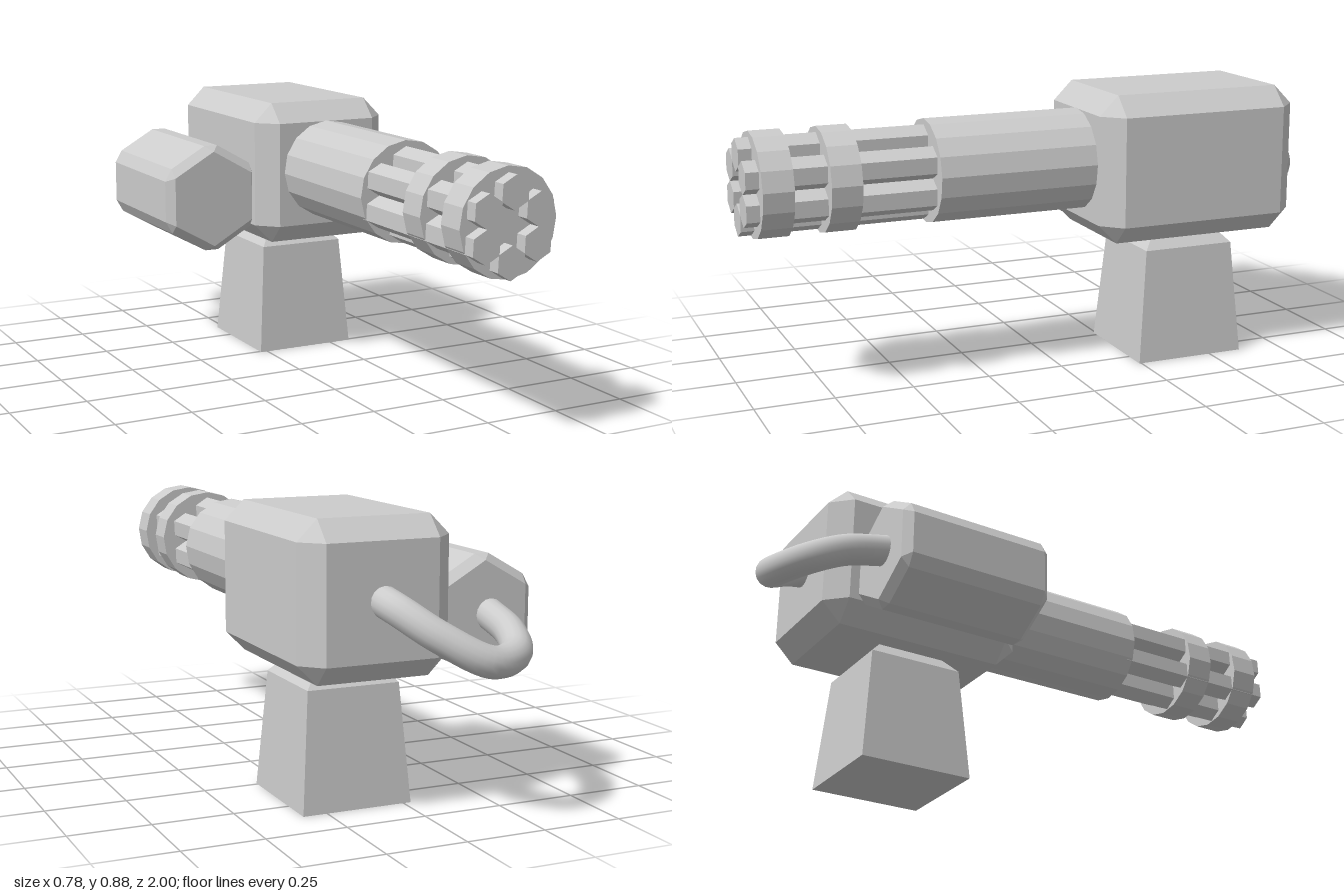
import * as THREE from 'three';
import { ConvexGeometry } from 'three/addons/geometries/ConvexGeometry.js';

export function createModel() {
  const model = new THREE.Group();
  model.name = 'rotaryTurret';
  const flat = new THREE.MeshStandardMaterial({ color: 0xcccccc, flatShading: true });
  const smooth = new THREE.MeshStandardMaterial({ color: 0xcccccc, side: THREE.DoubleSide });

  const add = (name, geometry, material = flat, parent = model) => {
    const mesh = new THREE.Mesh(geometry, material);
    mesh.name = name;
    parent.add(mesh);
    return mesh;
  };
  const v = (x, y, z) => new THREE.Vector3(x, y, z);

  // Cylinder along z between two depths, turned by a small angle
  const rod = (radius, sides, z0, z1, turn) =>
    new THREE.CylinderGeometry(radius, radius, z1 - z0, sides)
      .rotateX(Math.PI / 2).rotateZ(turn).translate(0, 0, (z0 + z1) / 2);

  // Main housing: box with every edge chamfered
  const [hx, hy, hz, c] = [0.2375, 0.2355, 0.341, 0.0625];
  const housing = [];
  for (const sx of [-1, 1]) for (const sy of [-1, 1]) for (const sz of [-1, 1]) {
    housing.push(
      v(sx * hx, sy * (hy - c), sz * (hz - c)),
      v(sx * (hx - c), sy * hy, sz * (hz - c)),
      v(sx * (hx - c), sy * (hy - c), sz * hz));
  }
  add('housing', new ConvexGeometry(housing)).position.set(0.151, 0.646, -0.432);

  // Pedestal: tapered block with a bevelled top
  const pedestal = [];
  for (const [y, x0, x1, z0, z1] of [
    [0, -0.024, 0.326, -0.612, -0.243],
    [0.366, 0.004, 0.299, -0.582, -0.275],
    [0.412, 0.043, 0.258, -0.54, -0.317],
  ]) for (const x of [x0, x1]) for (const z of [z0, z1]) pedestal.push(v(x, y, z));
  add('pedestal', new ConvexGeometry(pedestal));

  // Ammunition drum: hexagonal prism with chamfered edges
  const drum = [];
  for (let i = 0; i < 6; i++) {
    const a = i * Math.PI / 3, b = a + Math.PI / 6;
    const [ca, sa] = [Math.cos(a), Math.sin(a)];
    for (const s of [-1, 1]) {
      for (const t of [-0.068, 0.068]) drum.push(v(0.164 * ca - t * sa, 0.164 * sa + t * ca, s * 0.228));
      drum.push(v(0.159 * Math.cos(b), 0.159 * Math.sin(b), s * 0.253));
    }
  }
  add('ammoDrum', new ConvexGeometry(drum)).position.set(-0.226, 0.571, -0.428);

  // Shroud and the two clamp rings round the barrels
  for (const [name, z0, z1] of [
    ['barrelShroud', -0.12, 0.42],
    ['rearClampRing', 0.663, 0.757],
    ['frontClampRing', 0.866, 0.96],
  ]) add(name, rod(0.162, 16, z0, z1, 0.04)).position.set(0.155, 0.659, 0);

  // Six hexagonal barrels in a circle
  const barrels = new THREE.Group();
  barrels.name = 'barrels';
  barrels.position.set(0.1445, 0.653, 0);
  barrels.rotation.z = -0.04;
  model.add(barrels);
  for (let i = 0; i < 6; i++) {
    const a = Math.PI / 2 + i * Math.PI / 3;
    add('barrel', rod(0.0505, 6, 0.4, 1, 0), flat, barrels)
      .position.set(0.099 * Math.cos(a), 0.099 * Math.sin(a), 0);
  }

  // Feed hose drooping from the housing to the drum
  const path = new THREE.CatmullRomCurve3([
    v(0.149, 0.65, -0.75), v(0.124, 0.625, -0.825), v(0.045, 0.562, -0.907),
    v(-0.09, 0.491, -0.957), v(-0.2, 0.497, -0.902), v(-0.24, 0.535, -0.805), v(-0.246, 0.57, -0.67),
  ]);
  add('feedHose', new THREE.TubeGeometry(path, 40, 0.047, 16), smooth);

  return model;
}
